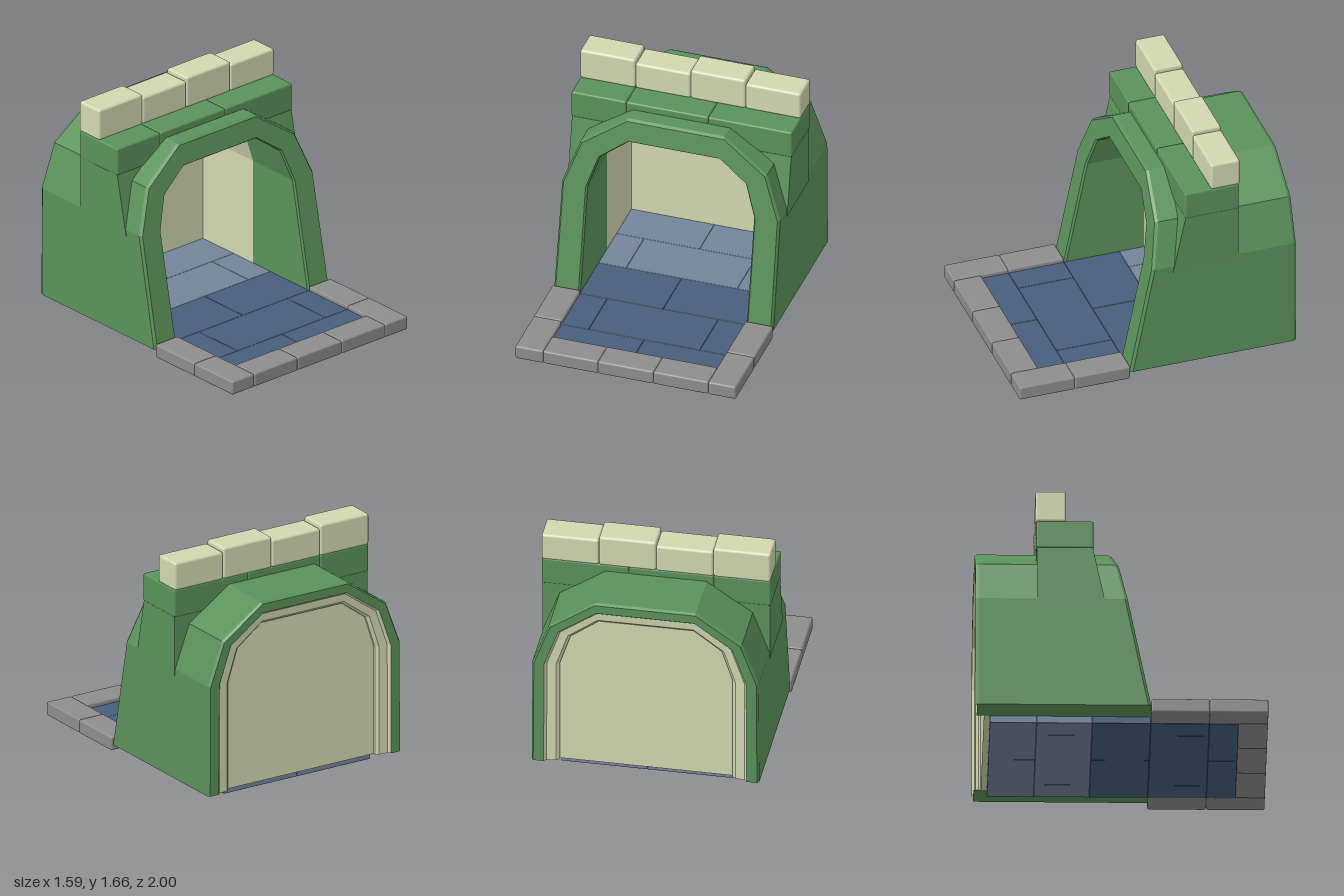
import * as THREE from 'three';
import { RoundedBoxGeometry } from 'three/addons/geometries/RoundedBoxGeometry.js';

const mat = (name, color) => {
  const m = new THREE.MeshStandardMaterial({ color });
  m.name = name;
  return m;
};

// Half profiles of the arch, from the foot to the crown
const INNER = [[0.6, 0.05], [0.6, 0.84], [0.525, 1.07], [0.33, 1.215]];
const OUTER = [[0.79, 0.05], [0.785, 0.85], [0.67, 1.16], [0.35, 1.38]];

// Full arch line, t = 0 at the opening and t = 1 at the outside
function archLine(t) {
  const half = INNER.map(([x, y], i) => [
    THREE.MathUtils.lerp(x, OUTER[i][0], t),
    THREE.MathUtils.lerp(y, OUTER[i][1], t),
  ]);
  return [...half, ...half.slice().reverse().map(([x, y]) => [-x, y])];
}

// Leaning front face
const front = (y) => 0.21 - 0.2 * y;

// Faceted skin through stations [t, z or rule for z]
function archSkin(stations) {
  const rings = stations.map(([t, z]) => archLine(t).map(([x, y]) =>
    [x, y, typeof z === 'function' ? z(y) : z]));
  const pos = [];
  for (let j = 0; j < rings.length - 1; j++) {
    for (let i = 0; i < rings[j].length - 1; i++) {
      const a = rings[j][i], b = rings[j + 1][i];
      const c = rings[j + 1][i + 1], d = rings[j][i + 1];
      pos.push(...a, ...b, ...c, ...a, ...c, ...d);
    }
  }
  const g = new THREE.BufferGeometry();
  g.setAttribute('position', new THREE.Float32BufferAttribute(pos, 3));
  g.computeVertexNormals();
  return g;
}

const polygon = (pts) => new THREE.Shape(pts.map(([x, y]) => new THREE.Vector2(x, y)));

export function createModel() {
  const model = new THREE.Group();
  model.name = 'archedTunnel';
  const green = mat('green stone', 0x5a915a);
  const cream = mat('cream stone', 0xd2d8b0);
  const grey = mat('grey kerb', 0x8d8d8d);
  const blue = mat('blue paving', 0x475e7c);
  const slate = mat('slate paving', 0x73849a);

  const add = (name, geometry, material) => {
    const m = new THREE.Mesh(geometry, material);
    m.name = name;
    model.add(m);
    return m;
  };
  // Bevelled block given by its limits
  const block = (name, material, x0, x1, y0, y1, z0, z1, r = 0.013) =>
    add(name, new RoundedBoxGeometry(x1 - x0, y1 - y0, z1 - z0, 2, r), material)
      .position.set((x0 + x1) / 2, (y0 + y1) / 2, (z0 + z1) / 2);
  // Row of blocks between successive x cuts
  const row = (name, material, cuts, y0, y1, z0, z1, r) => {
    for (let i = 0; i < cuts.length - 1; i++) {
      block(name, material, cuts[i], cuts[i + 1], y0, y1, z0, z1, r);
    }
  };

  // Green arch with chamfered edges
  add('arch', archSkin([
    [0, -0.38], [0, (y) => front(y) - 0.015], [0.06, front], [0.92, front],
    [1, (y) => front(y) - 0.02], [1, -0.98], [0.93, -1], [0.55, -1],
  ]), green);

  // Cream lining, wrapping round the back edge
  add('lining', archSkin([
    [0.55, -1], [0.46, -0.98], [0.12, -0.975], [0, -0.955], [0, -0.38],
  ]), cream);

  // Back wall
  const wall = new THREE.ExtrudeGeometry(polygon(archLine(0)), { depth: 0.04, bevelEnabled: false });
  add('backWall', wall.translate(0, 0, -0.94), cream);

  for (const s of [1, -1]) {
    // Undersides of the arch feet
    const foot = new THREE.PlaneGeometry(0.19, 1.19).rotateX(Math.PI / 2);
    add('archFoot', foot.translate(s * 0.695, 0.05, -0.395), green);

    // Shoulders beside the crown, leaning with the front
    const shoulder = new THREE.ExtrudeGeometry(
      polygon([[s * 0.79, 0.8], [s * 0.79, 1.235], [s * 0.45, 1.235]]),
      { depth: 0.38, bevelEnabled: false });
    const p = shoulder.attributes.position;
    for (let i = 0; i < p.count; i++) {
      p.setZ(i, p.getZ(i) > 0.1 ? -0.2 + (1.235 - p.getY(i)) * 0.21 : -0.58);
    }
    shoulder.computeVertexNormals();
    add('shoulder', shoulder, green);

    // Side kerbs
    for (const [z0, z1] of [[0.2, 0.6], [0.6, 1]]) {
      const x = s * 0.695;
      block('sideKerb', grey, x - 0.1, x + 0.1, 0, 0.1, z0, z1);
    }
  }

  // Front kerb
  row('frontKerb', grey, [-0.595, -0.2, 0.2, 0.595], 0, 0.1, 0.8, 1);

  // Paving, laid in staggered rows
  const halves = [-0.6, 0, 0.6];
  const thirds = [-0.6, -0.4, 0.4, 0.6];
  row('paving', blue, halves, 0, 0.07, 0.6, 0.8, 0.004);
  row('paving', blue, thirds, 0, 0.07, 0.2, 0.6, 0.004);
  row('paving', blue, halves, 0, 0.07, -0.2, 0.2, 0.004);
  row('innerPaving', slate, thirds, 0, 0.07, -0.58, -0.2, 0.004);
  row('innerPaving', slate, halves, 0, 0.07, -0.9, -0.58, 0.004);

  // Lintel course and uneven parapet on top
  row('lintel', green, [-0.795, -0.4, 0.19, 0.795], 1.23, 1.432, -0.585, -0.195);
  const cuts = [-0.795, -0.397, 0, 0.397, 0.795];
  for (let i = 0; i < 4; i++) {
    block('parapet', cream, cuts[i], cuts[i + 1], 1.428, i % 2 ? 1.63 : 1.656, -0.592, -0.382, 0.018);
  }
  return model;
}
